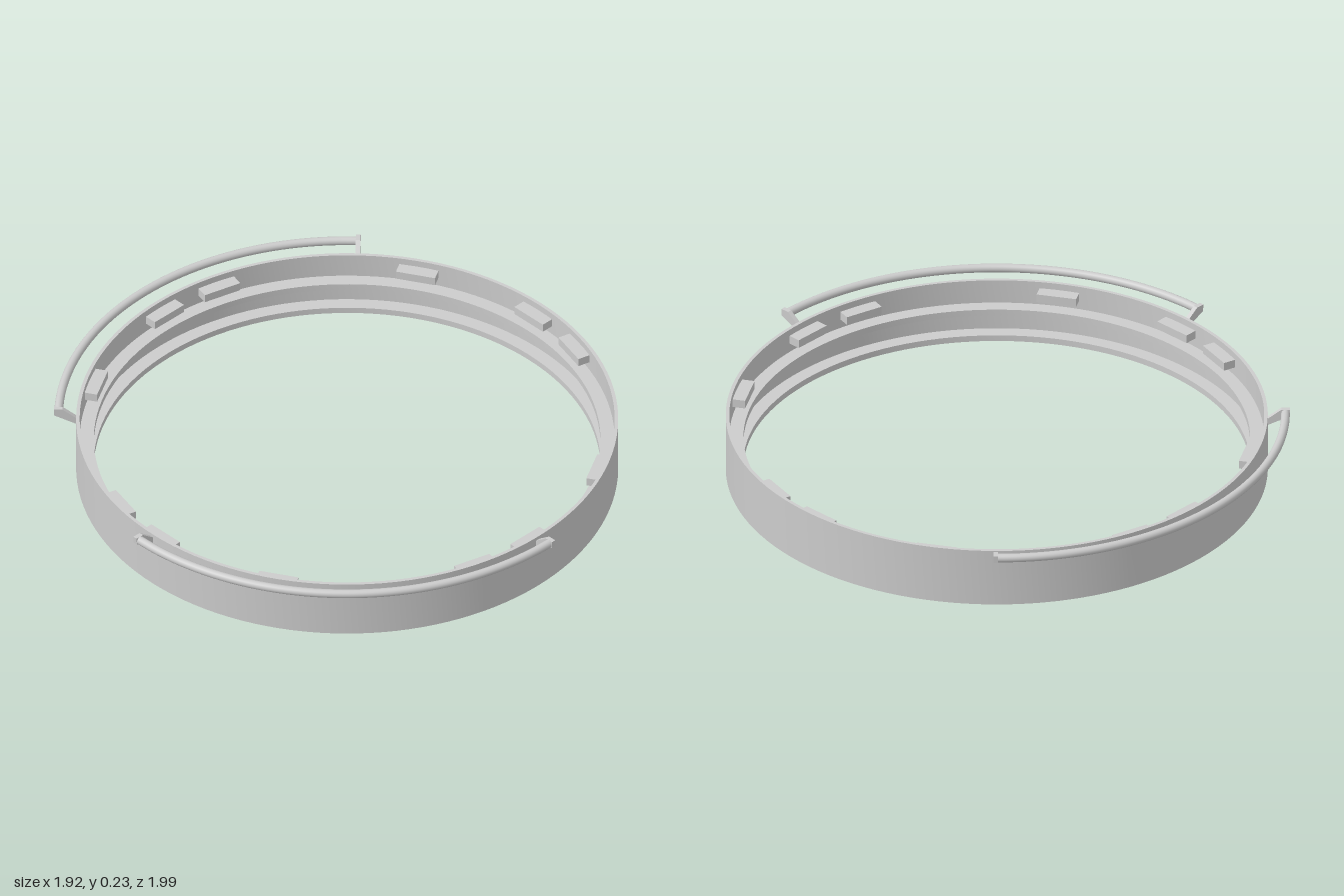
import * as THREE from 'three';
import { toCreasedNormals } from 'three/addons/utils/BufferGeometryUtils.js';

const material = new THREE.MeshStandardMaterial({ color: 0xcccccc });
const deg = THREE.MathUtils.degToRad;

function part(name, geometry) {
  const mesh = new THREE.Mesh(geometry, material);
  mesh.name = name;
  return mesh;
}

// Turns an object so its local +x points outward at an angle (0 = left, 90 = front)
function turn(object, angle) {
  object.rotation.y = -deg(angle);
  return object;
}

const OUTER = 0.92, WALL = 0.908, INNER = 0.86, HEIGHT = 0.21;
const BAR_RADIUS = 0.98, BAR_THICK = 0.015, BAR_Y = 0.217;

// Thin hoop wall with a bottom flange and a middle flange on its inside
function makeHoop() {
  const profile = [
    [INNER, 0], [OUTER, 0], [OUTER, HEIGHT], [WALL, HEIGHT],
    [WALL, 0.123], [INNER, 0.123], [INNER, 0.1], [WALL, 0.1],
    [WALL, 0.022], [INNER, 0.022], [INNER, 0],
  ].map(([r, y]) => new THREE.Vector2(r, y));
  return part('hoop', toCreasedNormals(new THREE.LatheGeometry(profile, 128), deg(30)));
}

// Curved bar held off the wall by a slanted bracket at each end
function makeHandle(name, start, end) {
  const handle = new THREE.Group();
  handle.name = name;

  const points = [];
  for (let i = 0; i <= 24; i++) {
    const a = deg(start + (end - start) * i / 24);
    points.push(new THREE.Vector3(Math.cos(a) * BAR_RADIUS, BAR_Y, Math.sin(a) * BAR_RADIUS));
  }
  const path = new THREE.CatmullRomCurve3(points);
  handle.add(part('handleBar', new THREE.TubeGeometry(path, 48, BAR_THICK, 16)));

  const outline = new THREE.Shape([
    [0.914, 0.17], [0.98, 0.2], [0.995, 0.207], [0.996, 0.232], [0.966, 0.232], [0.914, 0.193],
  ].map(([r, y]) => new THREE.Vector2(r, y)));
  const bracket = new THREE.ExtrudeGeometry(outline, { depth: 0.016, bevelEnabled: false });
  bracket.translate(0, 0, -0.008);
  for (const angle of [start, end]) handle.add(turn(part('handleBracket', bracket), angle));
  return handle;
}

export function createModel() {
  const model = new THREE.Group();
  model.name = 'ringFrame';
  model.position.set(0.037, 0, -0.002);
  model.add(makeHoop());

  // Three locking lugs per quarter, unevenly spaced
  const lug = new THREE.BoxGeometry(0.052, 0.03, 0.138);
  lug.translate(0.888, 0.171, 0);
  for (let quarter = 0; quarter < 4; quarter++) {
    for (const offset of [-30, 0, 15]) {
      model.add(turn(part('lug', lug), quarter * 90 + offset));
    }
  }

  model.add(makeHandle('frontHandle', 89.7, 180.7));
  model.add(makeHandle('backHandle', 226.2, 316.6));

  const root = new THREE.Group();
  root.add(model);
  return root;
}
